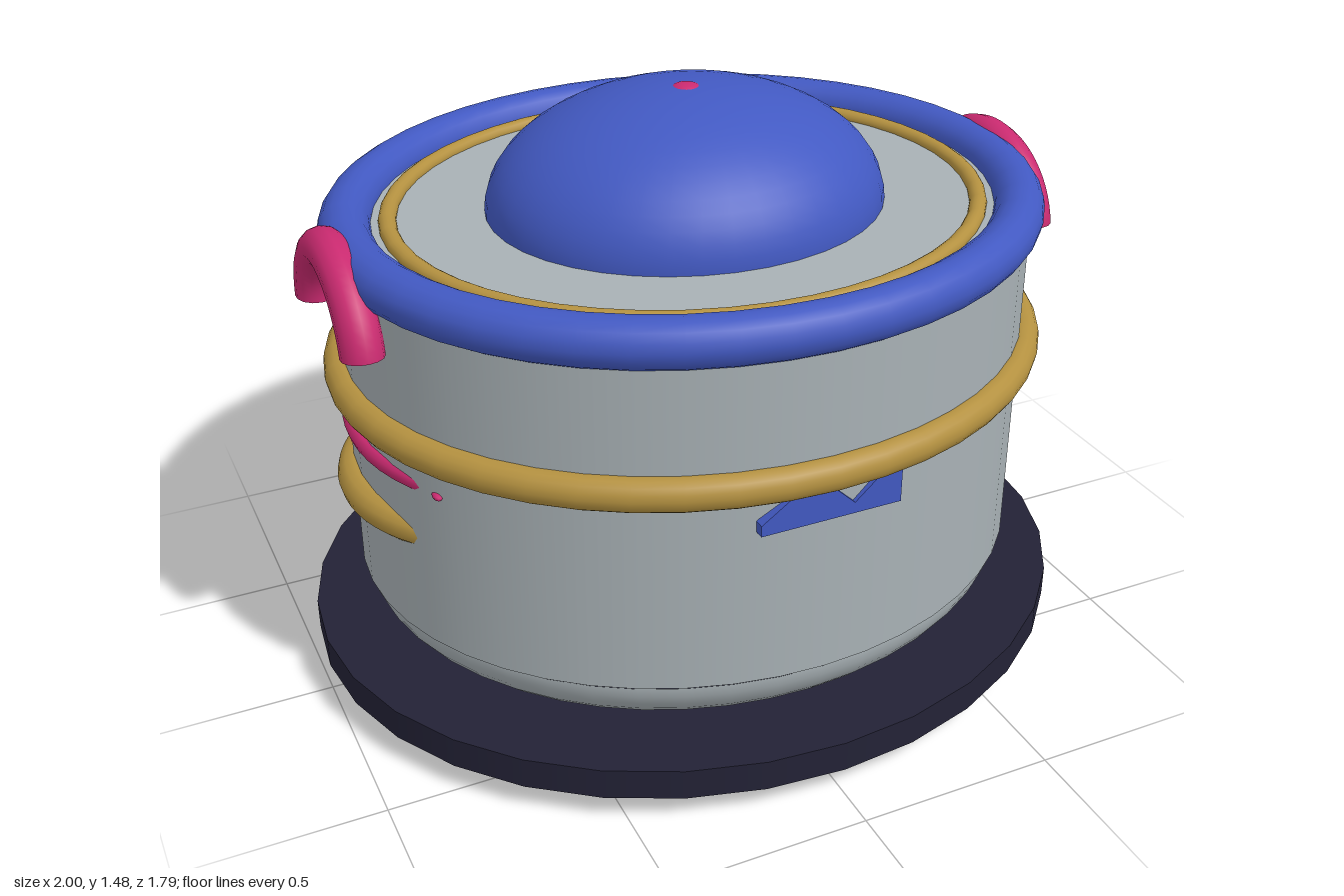
import * as THREE from 'three';

const DEPTH = 0.895; // the whole pot is slightly oval

const material = (name, color) => {
  const m = new THREE.MeshStandardMaterial({ color });
  m.name = name;
  return m;
};

export function createModel() {
  const model = new THREE.Group();
  model.name = 'ovalPot';
  const grey = material('steelGrey', 0xa8b1b5);
  const blue = material('enamelBlue', 0x4259c2);
  const gold = material('gold', 0xb49140);
  const pink = material('raspberry', 0xca2a70);
  const dark = material('darkNavy', 0x232236);

  const add = (name, geometry, mat, x = 0, y = 0, z = 0) => {
    const mesh = new THREE.Mesh(geometry, mat);
    mesh.name = name;
    mesh.position.set(x, y, z);
    model.add(mesh);
    return mesh;
  };

  // Oval horizontal ring with its own half height
  const ring = (name, radius, tube, halfHeight, y, mat) => add(name,
    new THREE.TorusGeometry(radius, tube, 16, 48)
      .rotateX(Math.PI / 2).scale(1, halfHeight / tube, DEPTH), mat, 0, y);

  // Stand plate
  add('basePlate', new THREE.CylinderGeometry(1, 1, 0.08, 32).scale(1, 1, DEPTH), dark, 0, 0.11);

  // Pot body: rounded bottom, open wall, flat lid
  add('potBottom', new THREE.SphereGeometry(1, 48, 16, 0, Math.PI * 2, Math.PI / 2, Math.PI / 2)
    .scale(0.86, 0.287, 0.86 * DEPTH), grey, 0, 0.287);
  add('potWall', new THREE.CylinderGeometry(0.87, 0.87, 0.89, 48, 1, true)
    .scale(1, 1, DEPTH), grey, 0, 0.74);
  add('lidPlate', new THREE.CircleGeometry(0.87, 48)
    .rotateX(-Math.PI / 2).scale(1, 1, DEPTH), grey, 0, 1.185);

  // Rim, waist band and lid trim
  ring('rim', 0.838, 0.064, 0.06, 1.18, blue);
  ring('waistBand', 0.878, 0.042, 0.042, 0.83, gold);
  ring('lidTrim', 0.735, 0.022, 0.02, 1.187, gold);

  // Domed lid centre and its small button
  add('lidDome', new THREE.SphereGeometry(1, 40, 14, 0, Math.PI * 2, 0, Math.PI / 2)
    .scale(0.5, 0.29, 0.5 * DEPTH), blue, 0, 1.185);
  add('lidButton', new THREE.SphereGeometry(0.037, 16, 10).scale(1, 0.4, 1), pink, 0, 1.466);

  // Horizontal bulging arc, partly sunk into the wall
  const sideArc = (name, side, radius, tube, centre, y, mat) => {
    const arc = new THREE.TorusGeometry(radius, tube, 12, 32, Math.PI)
      .rotateZ(-Math.PI / 2).rotateX(Math.PI / 2);
    if (side < 0) arc.rotateY(Math.PI);
    add(name, arc, mat, side * centre, y);
  };

  for (const side of [1, -1]) {
    const label = side > 0 ? 'left' : 'right';
    // Arched carrying handle
    add(label + 'Handle', new THREE.TorusGeometry(0.21, 0.055, 14, 28, 3.0)
      .rotateY(Math.PI / 2).scale(0.93, 0.91, 1), pink, side * 0.888, 1.01);
    sideArc(label + 'GoldGrip', side, 0.355, 0.042, 0.523, 0.57, gold);
    sideArc(label + 'PinkTrim', side, 0.528, 0.025, 0.337, 0.72, pink);
    // Small tips in line with the pink trim
    for (const end of [1, -1]) {
      add(label + 'TrimTip', new THREE.SphereGeometry(1, 10, 6)
        .scale(0.012, 0.008, 0.022), pink, side * 0.779, 0.72, end * 0.34);
    }
  }

  // Notched badge on the front, tucked under the waist band
  const badge = new THREE.Shape([
    [-0.18, 0.71], [0.175, 0.71], [0.175, 0.8], [0.125, 0.8],
    [0.055, 0.738], [-0.01, 0.8], [-0.09, 0.8], [-0.18, 0.738],
  ].map(([x, y]) => new THREE.Vector2(x, y)));
  add('frontBadge', new THREE.ExtrudeGeometry(badge, { depth: 0.025, bevelEnabled: false }),
    blue, 0, 0, 0.761);

  return model;
}
